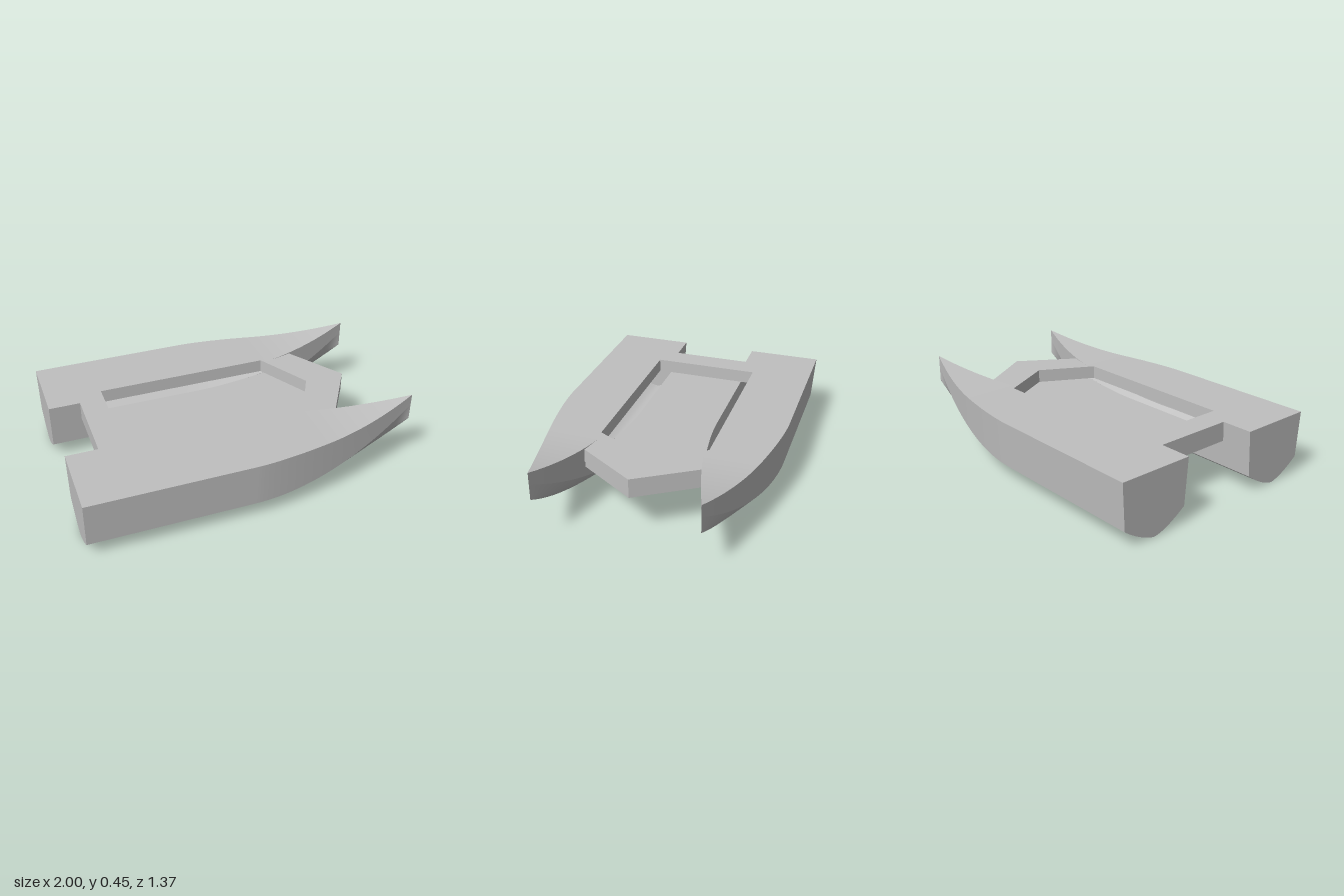
import * as THREE from 'three';

const CENTRE = 0.46;   // sideways offset of each hull
const DECK = 0.37, FLOOR = 0.29, UNDERSIDE = 0.255;
const WELL_AFT = -0.67, WELL_FORE = 0.385, WELL_SIDE = 0.32;

// Hull lines as functions of length
const past = (x, start) => Math.max(0, (x - start) / (1 - start));
const taper = (x) => 1 - Math.pow(past(x, -0.05), 1.56);
const sheerY = (x) => DECK + 0.08 * past(x, 0.4) ** 2;
const chineY = (x) => 0.1 + 0.28 * past(x, 0) ** 2;
const keelY = (x) => 0.285 * past(x, 0.05) ** 2;
const deckHalf = (x) => 0.223 * taper(x);
const chineHalf = (x) => 0.205 * taper(x);

// Evenly spaced values from a to b
const range = (a, b, n) => Array.from({ length: n + 1 }, (_, i) => a + ((b - a) * i) / n);

// Smooth sheet over the stations xs, with v running across it from 0 to 1
function sheet(xs, rows, point) {
  const pos = [], index = [];
  xs.forEach((x) => {
    for (let j = 0; j <= rows; j++) pos.push(...point(x, j / rows));
  });
  const w = rows + 1;
  for (let i = 0; i < xs.length - 1; i++) {
    for (let j = 0; j < rows; j++) {
      const a = i * w + j, b = a + 1, c = a + w, d = c + 1;
      index.push(a, b, c, b, d, c);
    }
  }
  const g = new THREE.BufferGeometry();
  g.setAttribute('position', new THREE.Float32BufferAttribute(pos, 3));
  g.setIndex(index);
  g.computeVertexNormals();
  return g;
}

// Point on the topside; t = 0 at the deck edge, 1 at the chine
function sidePoint(x, t, s) {
  const half = THREE.MathUtils.lerp(deckHalf(x), chineHalf(x), t);
  return [x, THREE.MathUtils.lerp(sheerY(x), chineY(x), t), CENTRE + s * half];
}

// Point on the curved bottom; s = -1 at inner chine, 0 at keel, 1 at outer chine
function bottomPoint(x, s) {
  const y = keelY(x) + (chineY(x) - keelY(x)) * Math.pow(Math.abs(s), 1.5);
  return [x, y, CENTRE + s * chineHalf(x)];
}

// Horizontal plate from an outline of [x, z] points
function plate(points, top, bottom) {
  const shape = new THREE.Shape(points.map(([x, z]) => new THREE.Vector2(x, z)));
  const g = new THREE.ExtrudeGeometry(shape, { depth: top - bottom, bevelEnabled: false });
  return g.rotateX(Math.PI / 2).translate(0, top, 0);
}

// Adds the other half of an outline, mirrored in z
const mirrored = (half) => [...half, ...half.slice().reverse()
  .filter(([, z]) => z > 0).map(([x, z]) => [x, -z])];

export function createModel() {
  const model = new THREE.Group();
  model.name = 'catamaranHull';
  const grey = new THREE.MeshStandardMaterial({ color: 0xc0c0c0, side: THREE.DoubleSide });
  const add = (parent, name, geometry) => {
    const mesh = new THREE.Mesh(geometry, grey);
    mesh.name = name;
    parent.add(mesh);
    return mesh;
  };

  const aft = range(-1, WELL_AFT, 2);
  const mid = [...range(WELL_AFT, -0.05, 4), ...range(-0.02, WELL_FORE, 12)];
  const fore = range(WELL_FORE, 1, 28);
  const all = [...aft, ...mid.slice(1), ...fore.slice(1)];

  // Transom outline, shared by both hulls
  const transom = new THREE.Shape([
    new THREE.Vector2(CENTRE - deckHalf(-1), DECK),
    ...range(-1, 1, 24).map((s) => {
      const p = bottomPoint(-1, s);
      return new THREE.Vector2(p[2], p[1]);
    }),
    new THREE.Vector2(CENTRE + deckHalf(-1), DECK),
  ]);

  for (const side of [1, -1]) {
    const hull = new THREE.Group();
    hull.name = side > 0 ? 'frontHull' : 'rearHull';

    add(hull, 'outerTopside', sheet(all, 4, (x, v) => sidePoint(x, v, 1)));
    add(hull, 'hullBottom', sheet(all, 24, (x, v) => bottomPoint(x, 1 - 2 * v)));

    // Inner side and deck, cut back alongside the cockpit well
    [aft, mid, fore].forEach((xs) => {
      const cut = xs === mid;
      add(hull, 'innerTopside', sheet(xs, 4, (x, v) => {
        const top = cut ? (sheerY(x) - FLOOR) / (sheerY(x) - chineY(x)) : 0;
        return sidePoint(x, 1 - v * (1 - top), -1);
      }));
      add(hull, 'sideDeck', sheet(xs, 1, (x, v) => {
        const inner = cut ? WELL_SIDE : CENTRE - deckHalf(x);
        return [x, sheerY(x), THREE.MathUtils.lerp(inner, CENTRE + deckHalf(x), v)];
      }));
    });

    const stern = new THREE.ShapeGeometry(transom);
    stern.rotateY(-Math.PI / 2);
    stern.translate(-1, 0, 0);
    add(hull, 'transom', stern);

    // Coaming hanging below the edge of the well
    const wall = new THREE.PlaneGeometry(0.37 - WELL_AFT, DECK - FLOOR);
    wall.rotateY(Math.PI);
    wall.translate((0.37 + WELL_AFT) / 2, (DECK + FLOOR) / 2, WELL_SIDE);
    add(hull, 'wellSideWall', wall);

    hull.scale.z = side;
    model.add(hull);
  }

  // Floor between the hulls, following their inner sides to a pointed front
  const edge = [...range(-0.815, -0.05, 1), ...range(0, 0.57, 14)]
    .map((x) => [x, CENTRE - deckHalf(x) * 0.975]);
  add(model, 'bridgeFloor', plate(mirrored([...edge, [0.785, 0]]), FLOOR, UNDERSIDE));

  // Raised deck behind and ahead of the well
  add(model, 'aftBridgeDeck', plate(
    mirrored([[-0.815, WELL_SIDE], [WELL_AFT, WELL_SIDE]]), DECK, FLOOR));
  add(model, 'foreBridgeDeck', plate(
    [[0.785, 0], [0.565, 0.351], [0.37, WELL_SIDE], [0.54, 0],
      [0.37, -WELL_SIDE], [0.565, -0.351]], DECK, FLOOR));

  return model;
}
